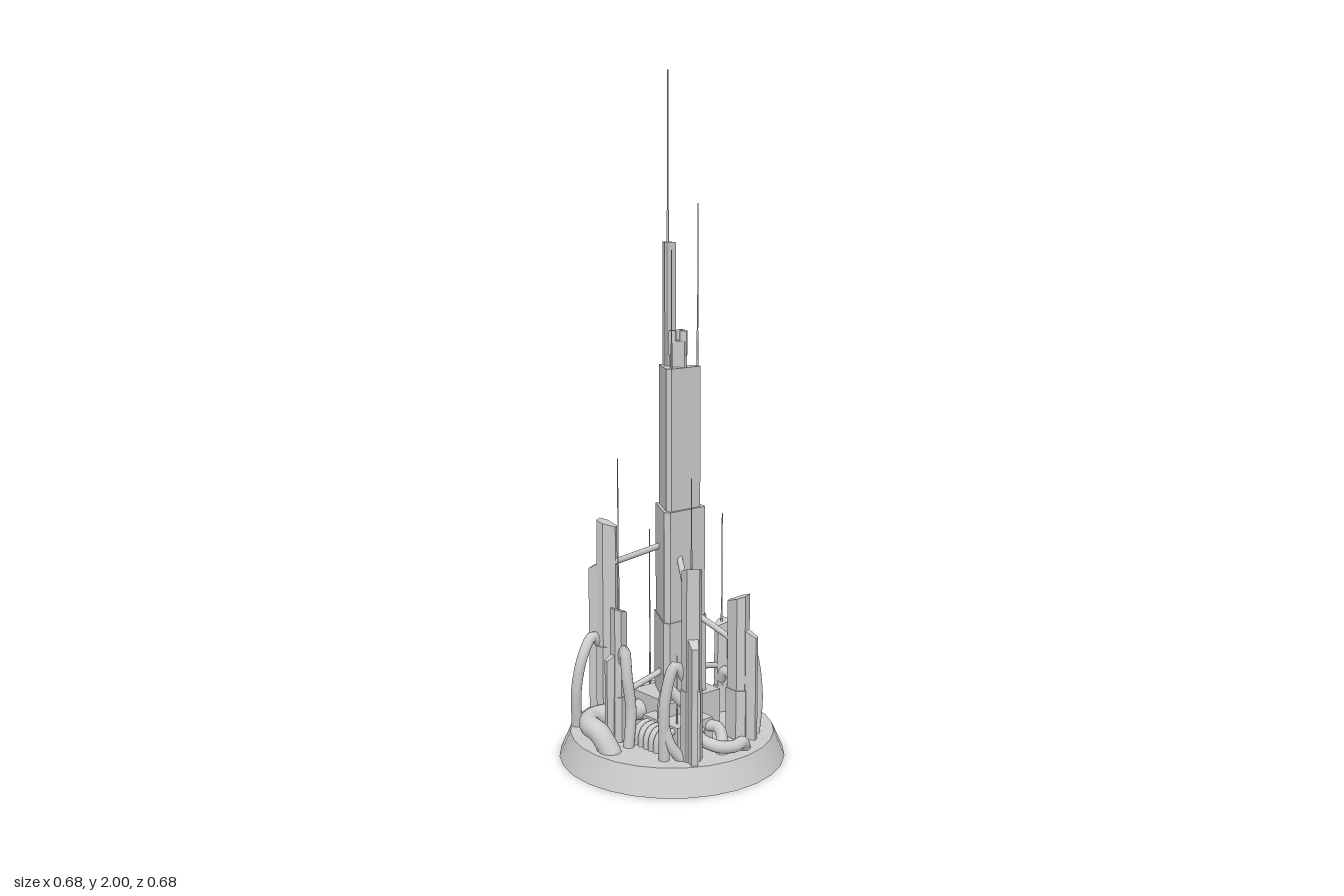
import * as THREE from 'three';

const material = new THREE.MeshStandardMaterial({ color: 0xcccccc, side: THREE.DoubleSide });
const V = (x, y, z) => new THREE.Vector3(x, y, z);
const FLOOR = 0.075;

function add(parent, name, geometry) {
  const mesh = new THREE.Mesh(geometry, material);
  mesh.name = name;
  parent.add(mesh);
  return mesh;
}

// Upright prism over [x, z] points; slope tilts its roof along x
function prism(points, y0, y1, slope = 0) {
  const shape = new THREE.Shape(points.map(([x, z]) => new THREE.Vector2(x, -z)));
  const g = new THREE.ExtrudeGeometry(shape, { depth: y1 - y0, bevelEnabled: false });
  g.rotateX(-Math.PI / 2);
  const p = g.attributes.position;
  for (let i = 0; i < p.count; i++) {
    if (p.getY(i) > 1e-4) p.setY(i, p.getY(i) + slope * p.getX(i));
  }
  g.translate(0, y0, 0);
  g.computeVertexNormals();
  return g;
}

// Triangle with its corners cut off, first corner facing -z
function cutTriangle(r, cut, turn = 0) {
  const corner = (i) => {
    const a = -Math.PI / 2 + turn + (i * 2 * Math.PI) / 3;
    return [r * Math.cos(a), r * Math.sin(a)];
  };
  const points = [];
  for (let i = 0; i < 3; i++) {
    const c = corner(i);
    for (const n of [corner(i + 2), corner(i + 1)]) {
      points.push([c[0] + (n[0] - c[0]) * cut, c[1] + (n[1] - c[1]) * cut]);
    }
  }
  return points;
}

function rod(parent, name, a, b, r, sides = 8) {
  const m = add(parent, name, new THREE.CylinderGeometry(r, r, a.distanceTo(b), sides));
  m.position.copy(a).add(b).multiplyScalar(0.5);
  m.quaternion.setFromUnitVectors(V(0, 1, 0), b.clone().sub(a).normalize());
}

function antenna(parent, x, z, y0, y1, r = 0.003) {
  const mid = y0 + (y1 - y0) * 0.22;
  rod(parent, 'antennaFoot', V(x, y0, z), V(x, mid, z), r, 6);
  rod(parent, 'antennaMast', V(x, mid, z), V(x, y1, z), r * 0.55, 6);
}

// Round pipe with rounded ends through [x, y, z] points
function pipe(parent, name, points, r) {
  const pts = points.map((p) => V(...p));
  const curve = new THREE.CatmullRomCurve3(pts);
  add(parent, name, new THREE.TubeGeometry(curve, points.length * 8, r, 14));
  for (const end of [pts[0], pts[pts.length - 1]]) {
    add(parent, name + 'End', new THREE.SphereGeometry(r, 14, 8)).position.copy(end);
  }
}

export function createModel() {
  const model = new THREE.Group();

  // Round sloping base
  add(model, 'base', new THREE.CylinderGeometry(0.305, 0.338, FLOOR, 28)).position.y = FLOOR / 2;

  // Central tower in stepped triangular tiers
  const tower = new THREE.Group();
  tower.name = 'centralTower';
  tower.position.set(0.017, 0, 0.002);
  model.add(tower);
  for (const [r, y0, y1] of [[0.106, FLOOR, 0.42], [0.1, 0.42, 0.75], [0.083, 0.75, 1.165]]) {
    add(tower, 'towerTier', prism(cutTriangle(r, 0.11, 0.08), y0, y1));
  }

  // Crown: tall rear spire, short notched front block, antennas
  const spire = add(tower, 'rearSpire', prism(cutTriangle(0.028, 0.14, 0.08), 1.165, 1.52));
  spire.position.set(0.004, 0, -0.037);
  const crown = add(tower, 'crownBlock', prism(cutTriangle(0.036, 0.16, Math.PI), 1.165, 1.24));
  crown.position.set(0.002, 0, 0.008);
  for (let i = 0; i < 3; i++) {
    const a = Math.PI / 2 + (i * 2 * Math.PI) / 3;
    const lobe = add(tower, 'crownLobe', prism(cutTriangle(0.016, 0.15, Math.PI), 1.2, 1.27));
    lobe.position.set(0.002 + 0.019 * Math.cos(a), 0, 0.008 + 0.019 * Math.sin(a));
  }
  antenna(model, 0.02, -0.037, 1.5, 2, 0.004);
  antenna(model, 0.065, 0.04, 1.165, 1.63);
  antenna(model, -0.033, 0.03, 1.165, 1.5);

  // Low machine blocks around the tower foot: x, z, width, depth, top, turn
  const blocks = [
    [0.03, -0.01, 0.2, 0.17, 0.185, -0.09],
    [0.063, -0.09, 0.095, 0.12, 0.165, -0.06],
    [-0.05, 0.073, 0.14, 0.15, 0.145, -0.06],
  ];
  for (const [x, z, w, d, top, turn] of blocks) {
    const b = add(model, 'machineBlock', new THREE.BoxGeometry(w, top - FLOOR, d));
    b.position.set(x, (top + FLOOR) / 2, z);
    b.rotation.y = turn;
  }
  antenna(model, 0.028, -0.122, 0.165, 0.66);
  antenna(model, -0.098, 0.116, 0.145, 0.35);

  // Satellite towers: x, z, top, lower tip top, scale, antenna top, strut heights [outer, inner]
  const satellites = [
    [-0.09, -0.185, 0.69, 0.58, 1.2, 0, 0.56, 0.63],
    [0.172, -0.17, 0.56, 0.42, 1.2, 0.965, 0.42, 0.48],
    [-0.178, -0.042, 0.47, 0.35, 0.95, 0.915, 0.21, 0.26],
    [0.208, 0.01, 0.36, 0.24, 0.95, 0.7, 0.22, 0.25],
    [-0.127, 0.2, 0.625, 0.45, 1.3, 0.885, 0.5, 0.61],
    [0.084, 0.19, 0.5, 0.42, 1.25, 0, 0.36, 0.44],
  ];
  const body = [[-0.025, -0.008], [0.004, -0.022], [0.022, -0.014],
    [0.022, 0.014], [0.004, 0.022], [-0.025, 0.008]];
  const tip = [[0.018, -0.012], [0.046, -0.007], [0.046, 0.007], [0.018, 0.012]];
  for (const [x, z, top, tipTop, s, mast, yOut, yIn] of satellites) {
    const dx = x - 0.017, dz = z - 0.002, dist = Math.hypot(dx, dz);
    const g = new THREE.Group();
    g.name = 'satelliteTower';
    g.position.set(x, 0, z);
    g.rotation.y = -Math.atan2(dz, dx);
    model.add(g);
    const size = (pts) => pts.map(([u, v]) => [u * s, v * s]);
    add(g, 'satelliteBody', prism(size(body), FLOOR, top, 0.35));
    add(g, 'satelliteTip', prism(size(tip), FLOOR, tipTop, -0.6));
    add(g, 'satelliteFoot', prism(size(body).map(([u, v]) => [u * 1.12, v * 1.12]), FLOOR, top * 0.45));
    if (mast) antenna(model, x, z, top, mast);
    const k = 0.05 / dist;
    rod(model, 'strut', V(0.017 + dx * k, yIn, 0.002 + dz * k), V(x, yOut, z), 0.009, 10);
  }

  // Thick pipes leaving the blocks
  pipe(model, 'mainPipe', [[-0.04, 0.13, -0.065], [-0.09, 0.13, -0.08], [-0.15, 0.13, -0.11],
    [-0.21, 0.13, -0.12], [-0.255, 0.13, -0.085], [-0.262, 0.12, -0.035], [-0.255, 0.07, 0.005]], 0.031);
  pipe(model, 'mainPipe', [[0.08, 0.14, -0.065], [0.14, 0.14, -0.062], [0.165, 0.125, -0.06], [0.175, 0.07, -0.058]], 0.03);
  pipe(model, 'mainPipe', [[0.065, 0.13, -0.12], [0.066, 0.13, -0.18], [0.067, 0.115, -0.205], [0.067, 0.07, -0.216]], 0.03);

  // Looping hose in front
  pipe(model, 'frontHose', [[-0.03, 0.11, 0.14], [-0.06, 0.11, 0.17], [-0.077, 0.11, 0.215], [-0.065, 0.105, 0.255],
    [-0.025, 0.1, 0.272], [0.015, 0.1, 0.27], [0.035, 0.07, 0.26]], 0.018);
  pipe(model, 'frontHose', [[0.0, 0.12, 0.14], [0.013, 0.12, 0.17], [0.0, 0.11, 0.2], [-0.025, 0.1, 0.225], [-0.04, 0.07, 0.24]], 0.017);

  // Row of small bent pipes at one side block
  for (let i = 0; i < 6; i++) {
    const z = 0.017 + i * 0.0215, x = -0.004 * i / 5;
    pipe(model, 'sidePipe', [[-0.1 + x, 0.13, z], [-0.145 + x, 0.128, z], [-0.162 + x, 0.11, z], [-0.165 + x, 0.07, z]], 0.01);
  }

  // Hoses arching from the satellite towers down to the base
  const hoses = [
    [[-0.09, 0.3, -0.2], [-0.13, 0.34, -0.207], [-0.175, 0.3, -0.198], [-0.2, 0.2, -0.203], [-0.19, 0.07, -0.215]],
    [[-0.09, 0.22, -0.2], [-0.06, 0.25, -0.212], [-0.035, 0.2, -0.22], [-0.03, 0.07, -0.222]],
    [[0.18, 0.18, -0.175], [0.215, 0.215, -0.165], [0.24, 0.18, -0.155], [0.245, 0.07, -0.15]],
    [[0.172, 0.31, -0.16], [0.182, 0.35, -0.135], [0.19, 0.27, -0.115], [0.192, 0.07, -0.108]],
    [[-0.175, 0.31, -0.035], [-0.185, 0.355, -0.01], [-0.19, 0.28, 0.005], [-0.182, 0.18, 0.012], [-0.195, 0.07, 0.015]],
    [[0.2, 0.18, 0.015], [0.198, 0.21, 0.035], [0.215, 0.18, 0.055], [0.215, 0.07, 0.08]],
    [[-0.125, 0.23, 0.165], [-0.16, 0.27, 0.14], [-0.19, 0.2, 0.15], [-0.18, 0.12, 0.17], [-0.15, 0.07, 0.19]],
    [[-0.13, 0.3, 0.19], [-0.165, 0.35, 0.175], [-0.192, 0.26, 0.162], [-0.19, 0.07, 0.155]],
    [[0.09, 0.31, 0.19], [0.13, 0.355, 0.178], [0.162, 0.3, 0.178], [0.165, 0.18, 0.195], [0.14, 0.07, 0.205]],
  ];
  for (const h of hoses) pipe(model, 'satelliteHose', h, 0.016);

  return model;
}
